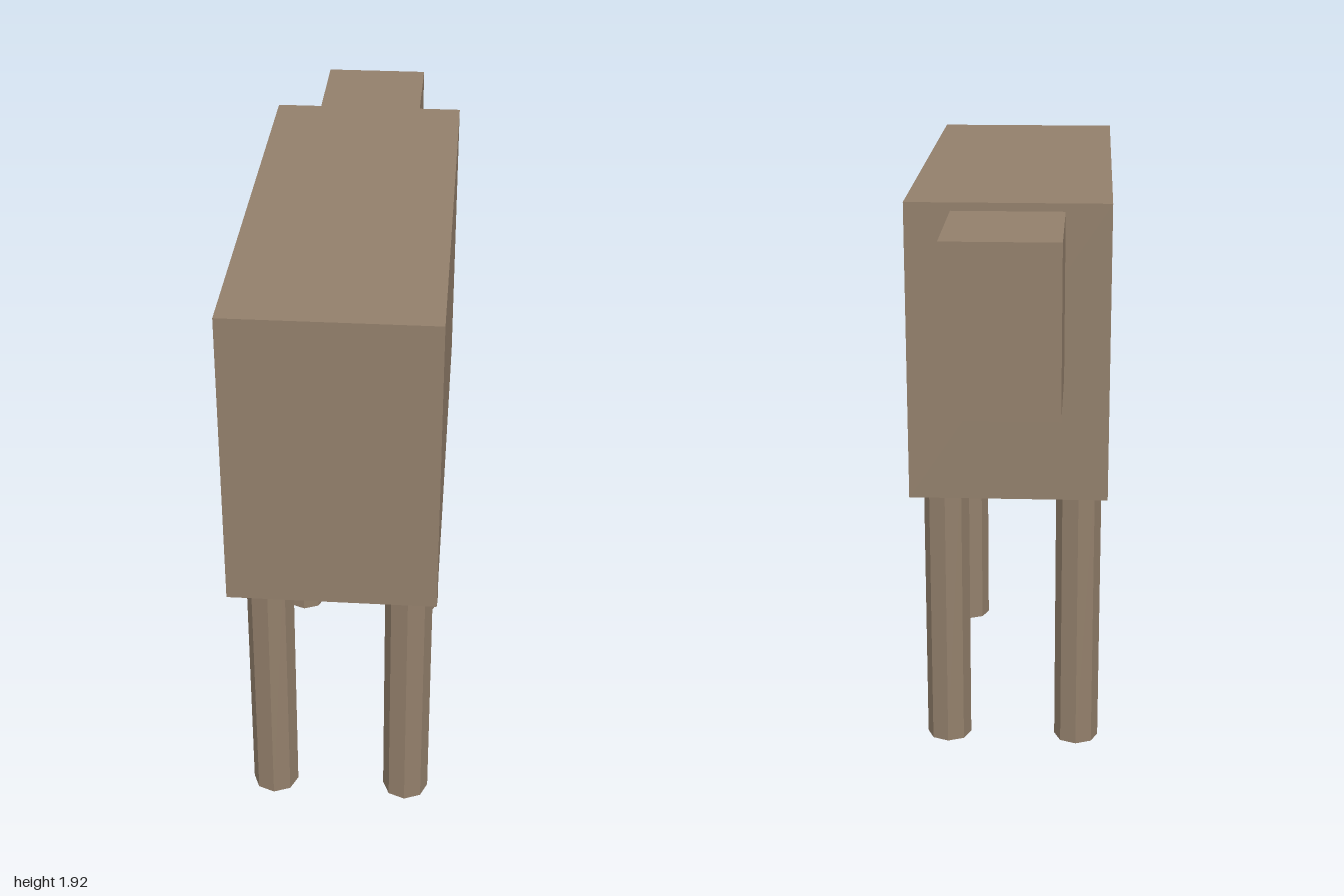
import * as THREE from 'three';

export function createModel() {
  const model = new THREE.Group();
  model.name = 'animal';
  const hide = new THREE.MeshStandardMaterial({ color: 0x927f6b });
  hide.name = 'brown hide';

  const addPart = (name, geometry, x, y, z) => {
    const mesh = new THREE.Mesh(geometry, hide);
    mesh.name = name;
    mesh.position.set(x, y, z);
    model.add(mesh);
  };

  // Body and head blocks
  addPart('body', new THREE.BoxGeometry(0.626, 0.94, 1.568), 0, 1.448, 0.216);
  addPart('head', new THREE.BoxGeometry(0.345, 0.516, 0.433), 0, 1.635, -0.7835);

  // Four eight-sided legs, flat shaded through unshared vertices
  const legHeight = 0.978;
  const leg = new THREE.CylinderGeometry(0.075, 0.075, legHeight, 8).toNonIndexed();
  leg.computeVertexNormals();
  for (const [end, z] of [['front', 0.72], ['back', -0.284]]) {
    for (const [side, x] of [['Left', 0.22], ['Right', -0.22]]) {
      addPart(`${end}${side}Leg`, leg, x, legHeight / 2, z);
    }
  }
  return model;
}
